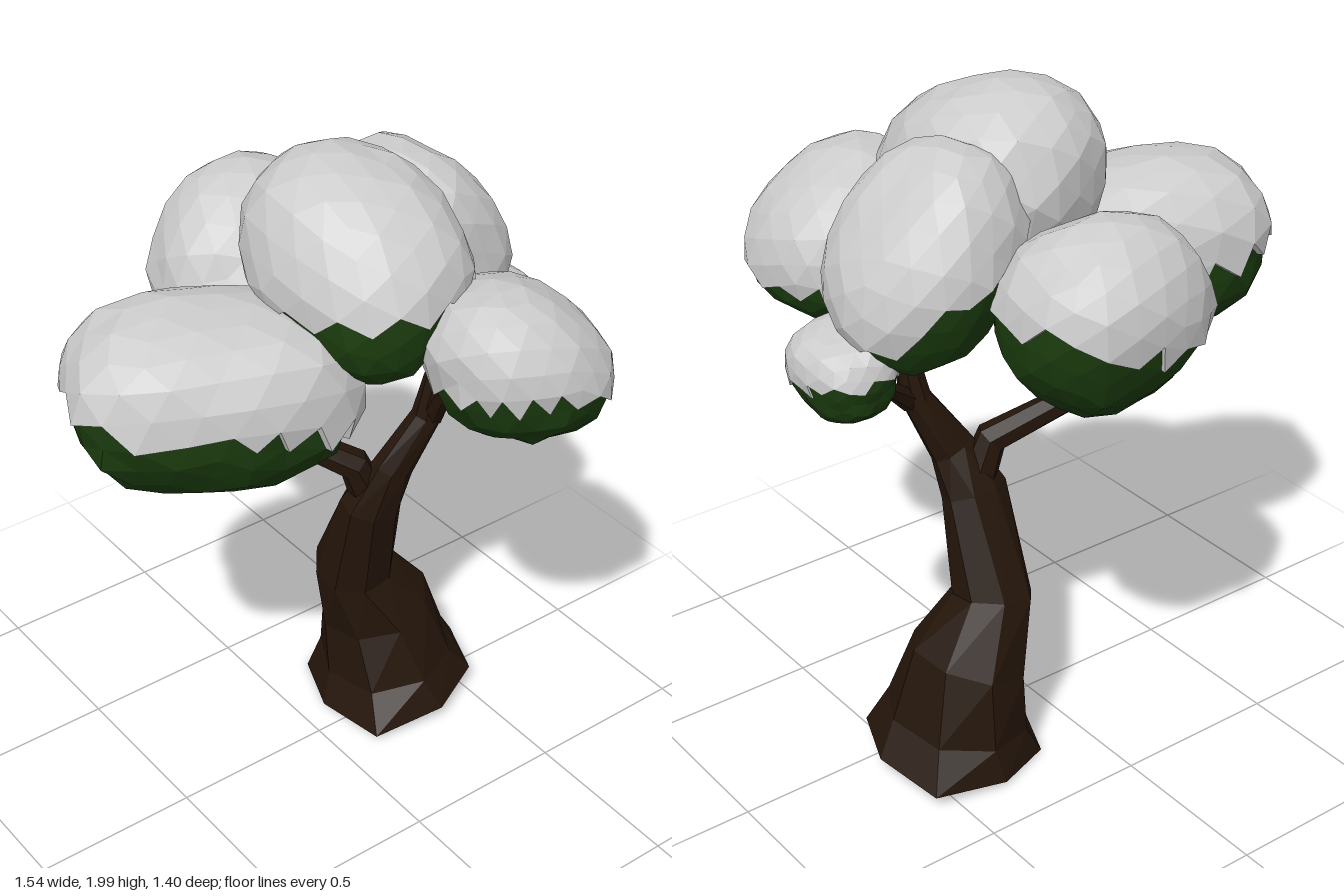
import * as THREE from 'three';
import { mergeVertices } from 'three/addons/utils/BufferGeometryUtils.js';

const flat = (color) => new THREE.MeshStandardMaterial({ color, flatShading: true, roughness: 1 });
const bark = flat(0x24150a);
const leaf = flat(0x1b3c0e);
const snow = flat(0xcccccc);

// Repeatable value in -1..1
const hash = (n) => {
  const s = Math.sin(n * 127.1) * 43758.5453;
  return (s - Math.floor(s)) * 2 - 1;
};

function makeMesh(name, positions, index, material) {
  let geo = new THREE.BufferGeometry();
  geo.setAttribute('position', new THREE.Float32BufferAttribute(positions, 3));
  geo.setIndex(index);
  geo = geo.toNonIndexed();
  geo.computeVertexNormals();
  const mesh = new THREE.Mesh(geo, material);
  mesh.name = name;
  return mesh;
}

// Capped loft through rings [x, y, z, radius, depthRadius, cornerSpread], square to the path
function limb(name, rings, sides, wobble = 0) {
  const pts = rings.map((r) => new THREE.Vector3(r[0], r[1], r[2]));
  const up = new THREE.Vector3(0, 1, 0);
  const pos = [], idx = [];
  rings.forEach(([, , , rx, rz = rx, spread = 0], i) => {
    const dir = pts[Math.min(i + 1, pts.length - 1)].clone().sub(pts[Math.max(i - 1, 0)]).normalize();
    const q = new THREE.Quaternion().setFromUnitVectors(up, dir);
    for (let j = 0; j < sides; j++) {
      const a = (j / sides) * Math.PI * 2 + 0.12 * i;
      const k = 1 + wobble * hash(i * 17 + j * 5 + 1) + spread * ((1 - Math.sin(2 * a)) / 2) ** 4;
      const v = new THREE.Vector3(Math.cos(a) * rx * k, 0, Math.sin(a) * rz * k);
      pos.push(...v.applyQuaternion(q).add(pts[i]).toArray());
    }
  });
  for (let i = 0; i < rings.length - 1; i++) {
    for (let j = 0; j < sides; j++) {
      const a = i * sides + j, b = i * sides + ((j + 1) % sides);
      idx.push(a, a + sides, b, b, a + sides, b + sides);
    }
  }
  const last = (rings.length - 1) * sides;
  for (let j = 1; j < sides - 1; j++) {
    idx.push(0, j, j + 1, last, last + j + 1, last + j);
  }
  return makeMesh(name, pos, idx, bark);
}

// Lumpy leaf clump filling a box, with a thick ragged snow cap over its upper faces
function clump({ name, min, max, turn = [0, 0, 0], shape = [1, 1, 1], boxy = 2.2, edge, tilt = [0, 0], seed }) {
  const ico = new THREE.IcosahedronGeometry(1, 3);
  ico.deleteAttribute('normal');
  ico.deleteAttribute('uv');
  ico.rotateX(seed * 0.7);
  ico.rotateZ(seed * 1.3);
  const base = mergeVertices(ico, 1e-3);
  const p = base.attributes.position, faces = base.index.array;
  const euler = new THREE.Euler(...turn, 'YXZ');
  const dirs = [], pts = [];
  const box = new THREE.Box3();
  for (let i = 0; i < p.count; i++) {
    const d = new THREE.Vector3().fromBufferAttribute(p, i).normalize();
    const square = (Math.abs(d.x) ** boxy + Math.abs(d.y) ** boxy + Math.abs(d.z) ** boxy) ** (-1 / boxy);
    const rough = d.y < 0 ? 0.04 : 0.018;
    const r = square * (1 + 0.035 * Math.sin(3 * d.x + seed * 2) * Math.cos(4 * d.z + seed) + rough * hash(i + seed * 91));
    const narrow = 1 - 0.16 * Math.max(0, -d.y);
    const v = d.multiplyScalar(r).multiply(new THREE.Vector3(narrow, 1, narrow));
    v.multiply(new THREE.Vector3(...shape)).applyEuler(euler);
    pts.push(v);
    box.expandByPoint(v);
  }
  // Fit the clump to its box
  const lo = new THREE.Vector3(...min), size = new THREE.Vector3(...max).sub(lo);
  const span = box.getSize(new THREE.Vector3());
  const centre = lo.clone().addScaledVector(size, 0.5);
  pts.forEach((v) => {
    v.sub(box.min).divide(span);
    dirs.push(v.clone().multiplyScalar(2).subScalar(1));
    v.multiply(size).add(lo);
  });
  const inset = (k) => pts.flatMap((v) => v.clone().sub(centre).multiplyScalar(k).add(centre).toArray());

  // Snow faces lie above a tilted edge, in box units of -1..1
  const idx = [], edges = new Map();
  for (let f = 0; f < faces.length; f += 3) {
    const t = [faces[f], faces[f + 1], faces[f + 2]];
    const m = t.reduce((s, i) => s.add(dirs[i]), new THREE.Vector3()).divideScalar(3);
    if (m.y < edge + tilt[0] * m.x + tilt[1] * m.z + 0.03 * hash(f + seed)) continue;
    idx.push(...t);
    t.forEach((a, k) => edges.set(a + '_' + t[(k + 1) % 3], [a, t[(k + 1) % 3]]));
  }
  // Rim closing the snow down to the leaves
  const n = p.count;
  for (const [a, b] of edges.values()) {
    if (!edges.has(b + '_' + a)) idx.push(b, a, a + n, b, a + n, b + n);
  }
  const group = new THREE.Group();
  group.name = name;
  group.add(
    makeMesh('leaves', inset(0.95), Array.from(faces), leaf),
    makeMesh('snowCap', [...inset(1), ...inset(0.92)], idx, snow),
  );
  return group;
}

export function createModel() {
  const tree = new THREE.Group();
  tree.name = 'snowyTree';

  // Trunk with flared, cornered foot, running on into the right-hand stem
  tree.add(limb('trunk', [
    [0.345, 0.035, -0.09, 0.26, 0.265, 0.26],
    [0.335, 0.13, -0.095, 0.205, 0.23, 0.08],
    [0.305, 0.32, -0.11, 0.175, 0.18],
    [0.215, 0.5, -0.115, 0.12, 0.125],
    [0.21, 0.8, -0.02, 0.1, 0.085],
    [0.25, 0.93, 0.025, 0.072, 0.055],
    [0.34, 1.1, 0.065, 0.045],
    [0.36, 1.25, 0.08, 0.032],
    [0.37, 1.5, 0.06, 0.025],
  ], 8, 0.04));

  // Branches
  tree.add(
    limb('leftBranch', [[0.21, 0.8, -0.02, 0.06], [0.15, 0.95, -0.03, 0.05], [0.0, 1.05, -0.13, 0.04],
      [-0.1, 1.12, -0.21, 0.033], [-0.17, 1.2, -0.25, 0.02]], 7),
    limb('leftTwig', [[-0.01, 1.05, -0.14, 0.032], [-0.05, 1.14, -0.18, 0.028], [-0.03, 1.35, -0.24, 0.018]], 6),
    limb('rightTwig', [[0.35, 1.09, 0.07, 0.035], [0.43, 1.16, 0.04, 0.026], [0.62, 1.29, -0.02, 0.018]], 6),
    limb('frontTwig', [[0.35, 1.09, 0.07, 0.035], [0.34, 1.2, 0.13, 0.03], [0.33, 1.4, 0.3, 0.022]], 6),
  );

  // Crown
  const clumps = [
    { name: 'wideClump', min: [-0.77, 1.11, -0.34], max: [0.04, 1.69, 0.3], turn: [0, -0.35, -0.08],
      shape: [0.43, 0.27, 0.28], boxy: 2.7, edge: -0.03, tilt: [-0.3, 0], seed: 1 },
    { name: 'topClump', min: [-0.21, 1.36, -0.28], max: [0.37, 2, 0.4], turn: [0.45, 0, 0],
      shape: [0.29, 0.29, 0.37], edge: -0.08, tilt: [0, 0.1], seed: 2 },
    { name: 'backClump', min: [-0.23, 1.17, -0.7], max: [0.39, 1.77, -0.17], turn: [-0.3, 0, -0.35],
      shape: [0.29, 0.34, 0.25], edge: -0.05, tilt: [0.25, 0], seed: 3 },
    { name: 'sideClump', min: [0.13, 1.29, -0.36], max: [0.68, 1.91, 0.16], turn: [0, 0, -0.85],
      shape: [0.35, 0.26, 0.26], boxy: 2.5, edge: -0.1, tilt: [-0.5, -0.15], seed: 4 },
    { name: 'frontClump', min: [0.06, 1.23, 0.17], max: [0.6, 1.73, 0.7], turn: [0, 0, -0.5],
      shape: [0.31, 0.23, 0.27], edge: -0.15, tilt: [-0.15, 0.15], seed: 5 },
    { name: 'smallClump', min: [0.52, 1.18, -0.2], max: [0.77, 1.45, 0.13], turn: [0, 0, -0.25],
      shape: [0.14, 0.12, 0.16], boxy: 3, edge: -0.05, tilt: [0, -0.25], seed: 6 },
  ];
  clumps.forEach((c) => tree.add(clump(c)));
  return tree;
}
